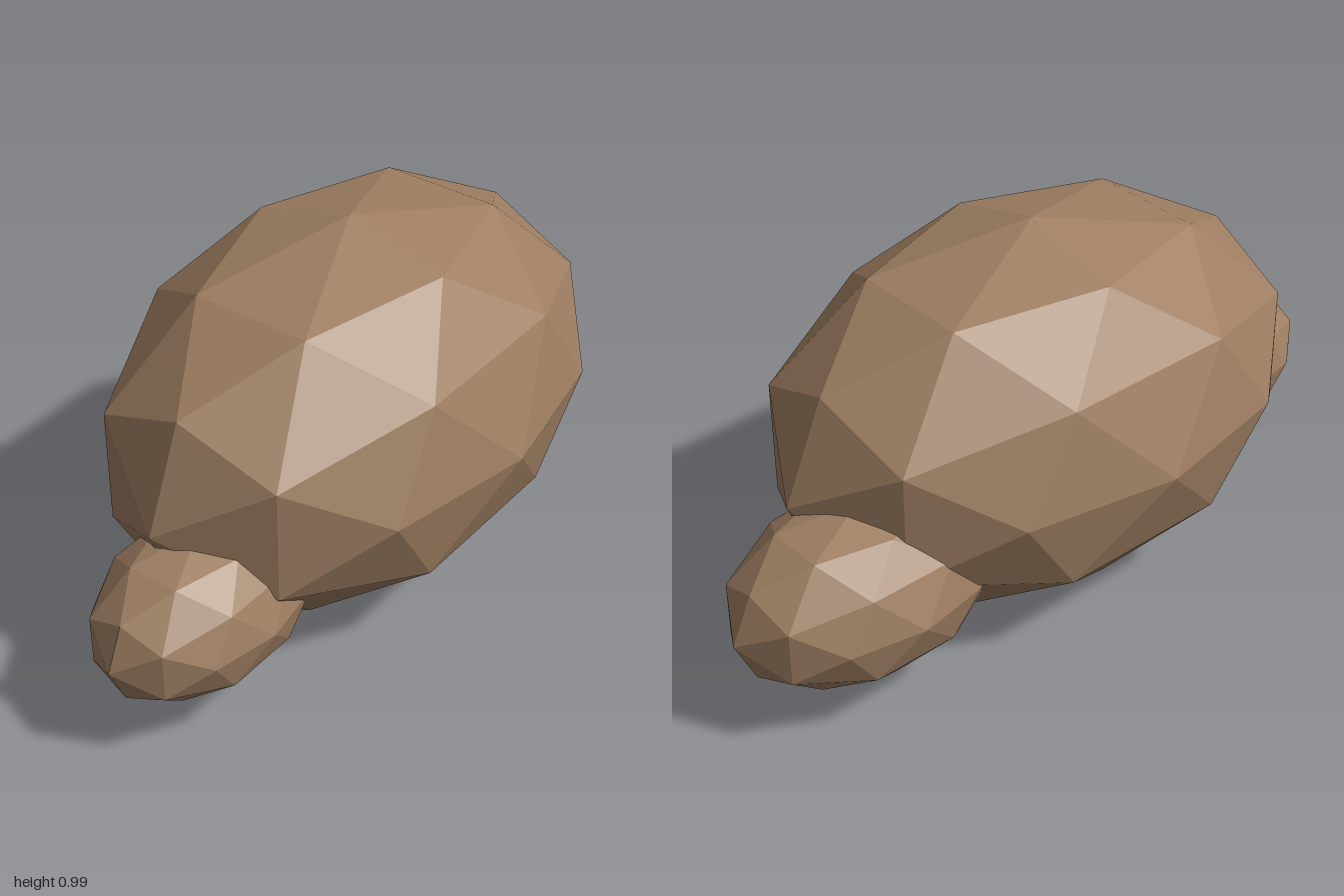
import * as THREE from 'three';

export function createModel() {
  const group = new THREE.Group();
  const brown = new THREE.MeshStandardMaterial({ color: 0x9e7e62, flatShading: true });
  brown.name = 'earthBrown';

  // Faceted boulder: a once-subdivided icosahedron stretched into an ellipsoid
  function boulder(name, radii, center) {
    const geometry = new THREE.IcosahedronGeometry(1, 1);
    geometry.rotateY(Math.PI / 2);
    geometry.scale(...radii);
    geometry.computeVertexNormals();
    const mesh = new THREE.Mesh(geometry, brown);
    mesh.name = name;
    mesh.position.set(...center);
    group.add(mesh);
  }

  // Large central boulder with a smaller one half sunk into each end
  boulder('mainBoulder', [0.763, 0.496, 0.518], [-0.013, 0.5, -0.001]);
  boulder('leftBoulder', [0.37, 0.231, 0.247], [0.63, 0.296, -0.118]);
  boulder('rightBoulder', [0.328, 0.208, 0.22], [-0.672, 0.281, 0.058]);

  return group;
}
